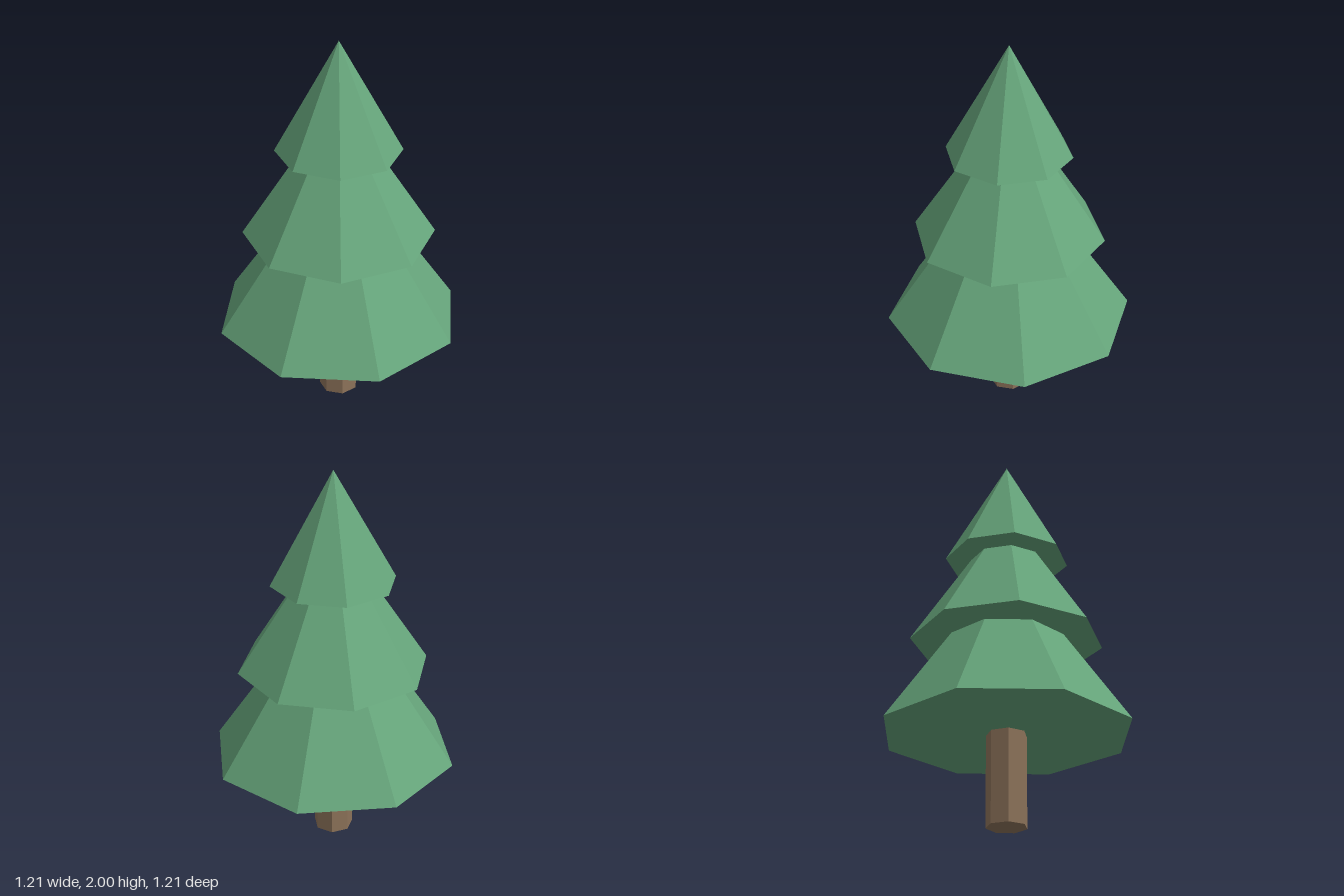
import * as THREE from 'three';

const foliage = new THREE.MeshStandardMaterial({ color: 0x66a57b });
foliage.name = 'foliageGreen';
const bark = new THREE.MeshStandardMaterial({ color: 0x8d735a });
bark.name = 'barkBrown';

// Flat facets: each face gets its own normal
function facetedMesh(name, geometry, material, baseY) {
  const flat = geometry.toNonIndexed();
  flat.computeVertexNormals();
  const mesh = new THREE.Mesh(flat, material);
  mesh.name = name;
  mesh.position.y = baseY;
  return mesh;
}

export function createModel() {
  const tree = new THREE.Group();
  tree.name = 'pineTree';

  // Seven-sided trunk, ending just inside the lowest tier
  const trunkHeight = 0.5;
  const trunk = new THREE.CylinderGeometry(0.103, 0.103, trunkHeight, 7, 1, false, Math.PI / 7);
  tree.add(facetedMesh('trunk', trunk.translate(0, trunkHeight / 2, 0), bark, 0));

  // Stacked eight-sided cones, each with its own twist
  const tiers = [
    { name: 'lowerFoliage', radius: 0.637, base: 0.468, tip: 1.41, twist: 26.5 },
    { name: 'middleFoliage', radius: 0.49, base: 0.963, tip: 1.71, twist: 9.4 },
    { name: 'upperFoliage', radius: 0.318, base: 1.427, tip: 2, twist: 9.4 },
  ];
  for (const { name, radius, base, tip, twist } of tiers) {
    const height = tip - base;
    const cone = new THREE.ConeGeometry(radius, height, 8, 1, false, THREE.MathUtils.degToRad(twist));
    tree.add(facetedMesh(name, cone.translate(0, height / 2, 0), foliage, base));
  }

  return tree;
}
